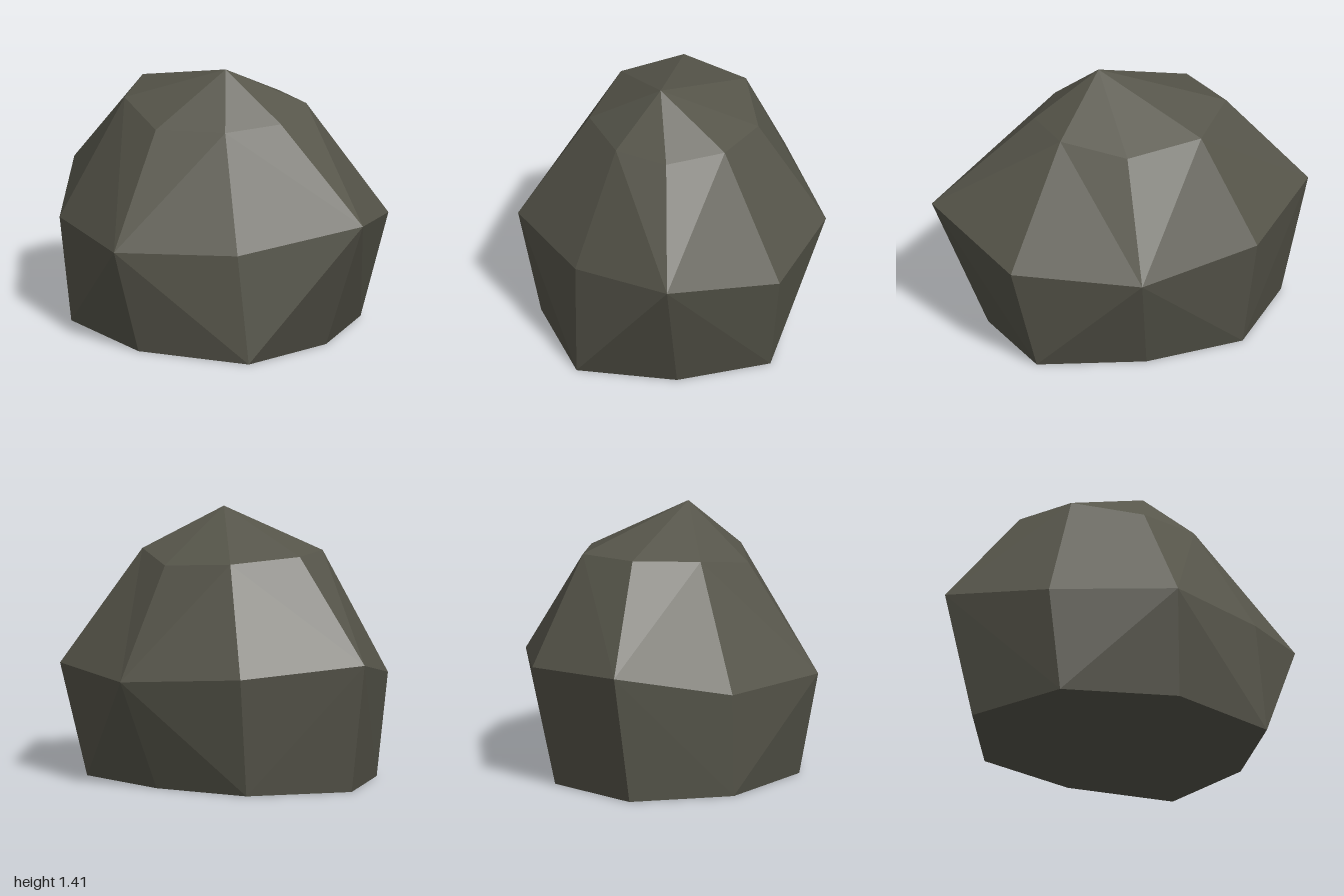
import * as THREE from 'three';

// Horizontal rings of eight corners, from +x round through +z
const BASE = [[0.71, 0, -0.01], [0.6, 0, 0.515], [0, 0, 0.685], [-0.6, 0, 0.48],
  [-0.865, 0, -0.02], [-0.55, 0, -0.5], [-0.01, 0, -0.6], [0.56, 0, -0.505]];
const WAIST = [[1, 0.72, 0.05], [0.53, 0.585, 0.52], [-0.07, 0.56, 0.805], [-0.67, 0.56, 0.49],
  [-1, 0.69, -0.07], [-0.605, 0.635, -0.61], [0.06, 0.58, -0.81], [0.71, 0.59, -0.55]];
const SHOULDER = [[0.45, 1.175, 0.04], [0.28, 1.16, 0.3], [-0.08, 1.14, 0.43], [-0.42, 1.21, 0.255],
  [-0.555, 1.225, -0.08], [-0.35, 1.2, -0.4], [0.06, 1.16, -0.455], [0.38, 1.2, -0.27]];
const PEAK = [0.1, 1.415, 0.06];
const BOTTOM = [0, 0, 0];

function rockGeometry() {
  const pos = [];
  const tri = (a, b, c) => pos.push(...a, ...b, ...c);

  // Band between two rings; diagonals alternate so every second waist corner is a fan
  const band = (low, up, startRising) => {
    for (let i = 0; i < 8; i++) {
      const j = (i + 1) % 8;
      if ((i % 2 === 0) === startRising) {
        tri(low[i], up[i], up[j]);
        tri(low[i], up[j], low[j]);
      } else {
        tri(low[i], up[i], low[j]);
        tri(up[i], up[j], low[j]);
      }
    }
  };
  band(BASE, WAIST, false);
  band(WAIST, SHOULDER, true);

  // Peak and underside fans
  for (let i = 0; i < 8; i++) {
    const j = (i + 1) % 8;
    tri(SHOULDER[i], PEAK, SHOULDER[j]);
    tri(BASE[i], BASE[j], BOTTOM);
  }

  const geometry = new THREE.BufferGeometry();
  geometry.setAttribute('position', new THREE.Float32BufferAttribute(pos, 3));
  geometry.computeVertexNormals();
  return geometry;
}

export function createModel() {
  const stone = new THREE.MeshStandardMaterial({ color: 0x57564b, flatShading: true });
  stone.name = 'dark stone';

  const rock = new THREE.Mesh(rockGeometry(), stone);
  rock.name = 'rock';

  const group = new THREE.Group();
  group.name = 'boulder';
  group.add(rock);
  return group;
}
